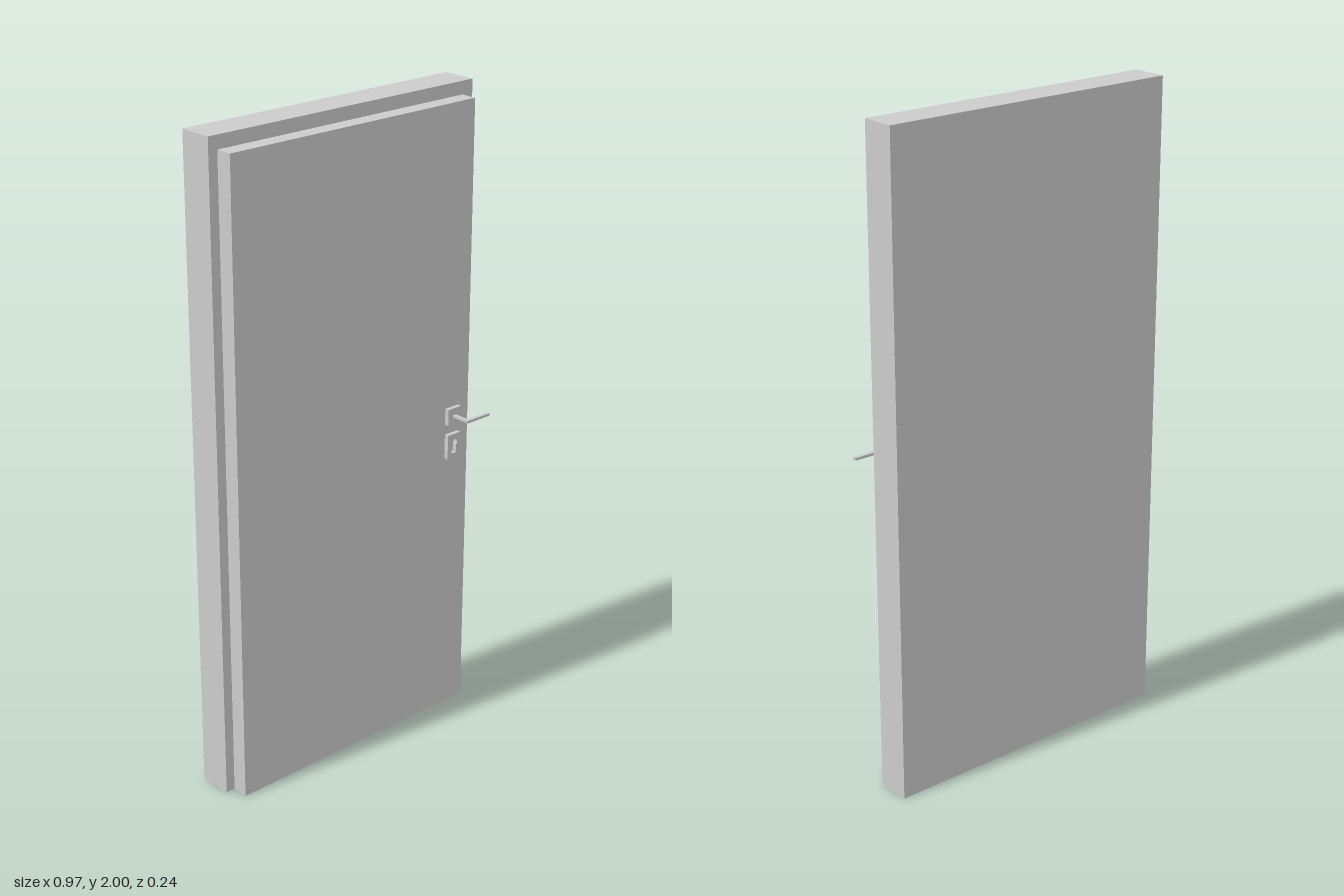
import * as THREE from 'three';

export function createModel() {
  const group = new THREE.Group();
  const material = new THREE.MeshStandardMaterial({ color: 0xcccccc, flatShading: true });

  // Box given by its minimum and maximum corners
  function block(name, [x0, y0, z0], [x1, y1, z1]) {
    const mesh = new THREE.Mesh(new THREE.BoxGeometry(x1 - x0, y1 - y0, z1 - z0), material);
    mesh.position.set((x0 + x1) / 2, (y0 + y1) / 2, (z0 + z1) / 2);
    mesh.name = name;
    group.add(mesh);
  }

  const leafFront = 0.042, plateFront = 0.056, handleFront = 0.118;

  // Frame block and the overlapping door leaf
  block('doorFrame', [-0.483, 0, -0.118], [0.483, 2, -0.01]);
  block('doorLeaf', [-0.453, 0, -0.01], [0.443, 1.96, leafFront]);

  // Handle: square rose, stem and lever
  block('handlePlate', [0.349, 0.972, leafFront], [0.401, 1.024, plateFront]);
  block('handleStem', [0.369, 0.994, plateFront], [0.38, 1.002, handleFront]);
  block('handleLever', [0.38, 0.994, 0.106], [0.463, 1.002, handleFront]);

  // Lock plate with a keyhole cut through it
  const plate = new THREE.Shape();
  plate.moveTo(-0.026, -0.039).lineTo(0.026, -0.039).lineTo(0.026, 0.039).lineTo(-0.026, 0.039).closePath();
  const keyhole = new THREE.Path();
  keyhole.moveTo(-0.009, -0.024);
  keyhole.lineTo(0.009, -0.024);
  keyhole.lineTo(0.009, 0.003);
  keyhole.absarc(0, 0.011, 0.013, -0.7, Math.PI + 0.7, false);
  keyhole.lineTo(-0.009, 0.003);
  keyhole.closePath();
  plate.holes.push(keyhole);
  const lockPlate = new THREE.Mesh(
    new THREE.ExtrudeGeometry(plate, { depth: plateFront - leafFront, bevelEnabled: false, curveSegments: 10 }),
    material
  );
  lockPlate.position.set(0.375, 0.9, leafFront);
  lockPlate.name = 'lockPlate';
  group.add(lockPlate);

  return group;
}
